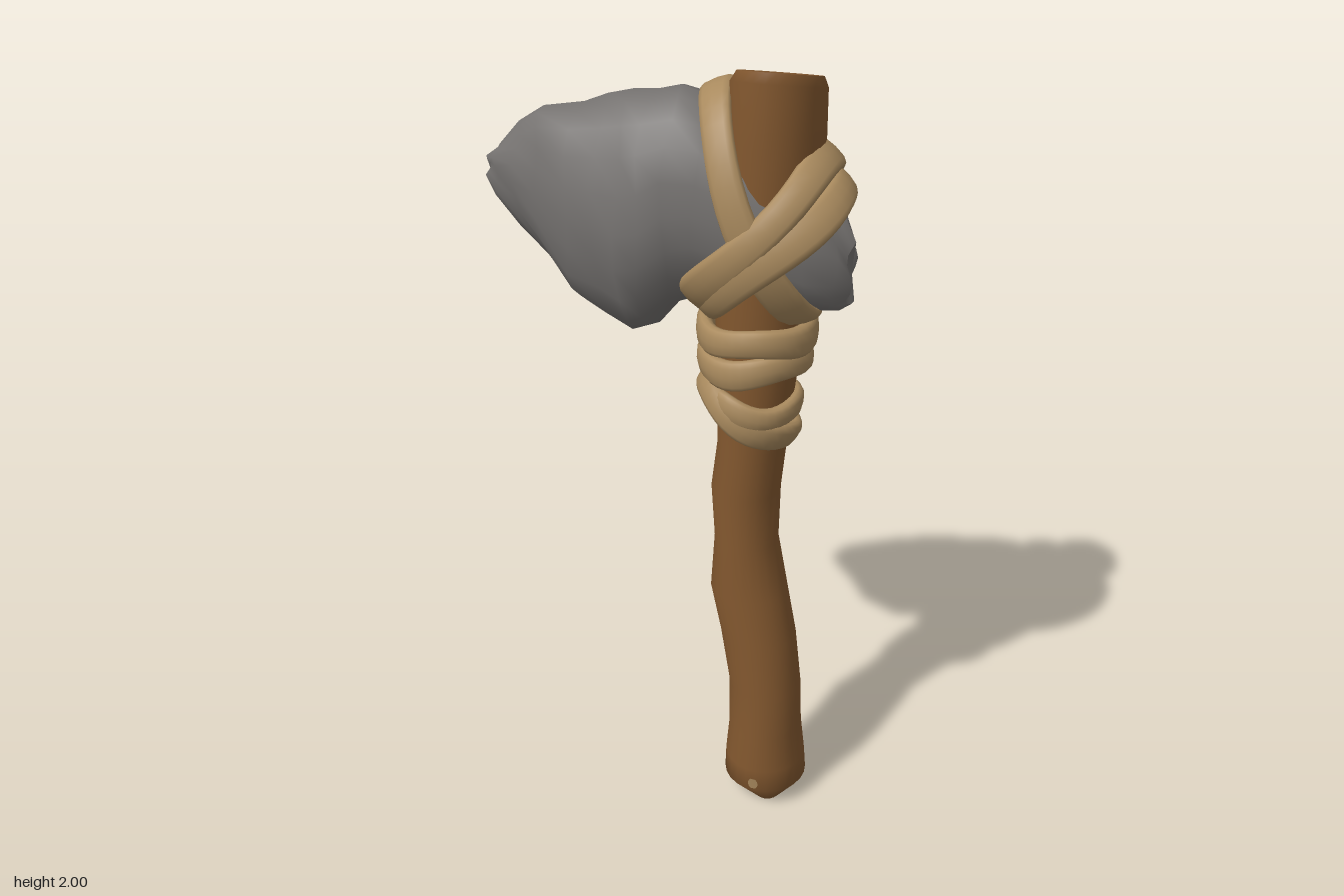
import * as THREE from 'three';

const wood = new THREE.MeshStandardMaterial({ color: 0x83582f });
wood.name = 'wood';
const stone = new THREE.MeshStandardMaterial({ color: 0x757270 });
stone.name = 'stone';
const hide = new THREE.MeshStandardMaterial({ color: 0xa98a5e });
hide.name = 'hide';
const paleWood = new THREE.MeshStandardMaterial({ color: 0xa3845a });
paleWood.name = 'paleWood';

const { sin, cos, PI } = Math;

// Skin a list of rings; open lofts get flat end caps with sharp rims.
function loft(rings, closed = false) {
  const n = rings[0].length, m = rings.length;
  const pos = rings.flat().flatMap((p) => [p.x, p.y, p.z]);
  const index = [];
  for (let i = 0; i < (closed ? m : m - 1); i++) {
    for (let j = 0; j < n; j++) {
      const k = (j + 1) % n, i2 = (i + 1) % m;
      const a = i * n + j, b = i * n + k, c = i2 * n + j, d = i2 * n + k;
      index.push(a, c, b, b, c, d);
    }
  }
  if (!closed) {
    for (const [ring, flip] of [[rings[0], false], [rings[m - 1], true]]) {
      const base = pos.length / 3;
      const mid = new THREE.Vector3();
      ring.forEach((p) => mid.addScaledVector(p, 1 / n));
      [mid, ...ring].forEach((p) => pos.push(p.x, p.y, p.z));
      for (let j = 0; j < n; j++) {
        const a = base + 1 + j, b = base + 1 + ((j + 1) % n);
        index.push(base, flip ? b : a, flip ? a : b);
      }
    }
  }
  const g = new THREE.BufferGeometry();
  g.setAttribute('position', new THREE.Float32BufferAttribute(pos, 3));
  g.setIndex(index);
  g.computeVertexNormals();
  return g;
}

const ringOf = (n, f) => Array.from({ length: n }, (_, j) => f((j / n) * 2 * PI));

function part(name, geometry, material) {
  const mesh = new THREE.Mesh(geometry, material);
  mesh.name = name;
  return mesh;
}

// Handle sections: y, x min, x max, z min, z max
const handleSections = [
  [0.0, 0.26, 0.33, 0.0, 0.08],
  [0.055, 0.17, 0.387, -0.11, 0.12],
  [0.12, 0.172, 0.382, -0.105, 0.12],
  [0.22, 0.18, 0.37, -0.095, 0.115],
  [0.35, 0.178, 0.365, -0.082, 0.11],
  [0.5, 0.15, 0.345, -0.09, 0.105],
  [0.63, 0.12, 0.32, -0.082, 0.095],
  [0.78, 0.127, 0.288, -0.088, 0.09],
  [0.92, 0.115, 0.288, -0.1, 0.09],
  [1.05, 0.13, 0.3, -0.095, 0.093],
  [1.2, 0.125, 0.315, -0.1, 0.1],
  [1.4, 0.12, 0.335, -0.11, 0.11],
  [1.6, 0.13, 0.35, -0.12, 0.12],
  [1.82, 0.14, 0.362, -0.137, 0.128],
  [1.94, 0.145, 0.36, -0.142, 0.132],
  [1.965, 0.16, 0.35, -0.135, 0.125],
];

function handlePoint(y, a, lift = 0) {
  let i = handleSections.findIndex((s) => s[0] >= y);
  i = Math.max(1, i);
  const s = handleSections[i - 1], e = handleSections[i];
  const t = (y - s[0]) / (e[0] - s[0]);
  const [x0, x1, z0, z1] = [1, 2, 3, 4].map((k) => s[k] + (e[k] - s[k]) * t);
  const x = (x0 + x1) / 2 + ((x1 - x0) / 2 + lift) * cos(a);
  const z = (z0 + z1) / 2 + ((z1 - z0) / 2 + lift) * sin(a);
  // The sawn top slopes down towards the back
  const slope = 0.26 * THREE.MathUtils.smoothstep(y, 1.75, 1.96);
  return new THREE.Vector3(x, y + slope * z, z);
}

// Thin pale scrape hugging the handle surface
function scrape(angle, span, y0, y1, lean) {
  const g = new THREE.PlaneGeometry(1, 1, 3, 4);
  const p = g.attributes.position;
  for (let i = 0; i < p.count; i++) {
    const v = p.getY(i) + 0.5;
    const taper = 0.5 + 0.5 * sin(PI * v);
    const a = angle - p.getX(i) * span * taper + lean * (v - 0.5);
    const q = handlePoint(y0 + (y1 - y0) * v, a, 0.004);
    p.setXYZ(i, q.x, q.y, q.z);
  }
  g.computeVertexNormals();
  return g;
}

// Stone sections: x, bottom, top, half thickness
const stoneSections = [
  [-0.444, 1.645, 1.715, 0.014],
  [-0.42, 1.61, 1.745, 0.03],
  [-0.36, 1.55, 1.805, 0.065],
  [-0.3, 1.485, 1.845, 0.095],
  [-0.21, 1.385, 1.865, 0.14],
  [-0.14, 1.355, 1.885, 0.155],
  [-0.08, 1.315, 1.9, 0.168],
  [-0.03, 1.335, 1.91, 0.175],
  [0.03, 1.4, 1.92, 0.163],
  [0.1, 1.43, 1.905, 0.156],
  [0.19, 1.43, 1.85, 0.15],
  [0.27, 1.43, 1.78, 0.143],
  [0.35, 1.42, 1.7, 0.108],
  [0.41, 1.425, 1.65, 0.068],
  [0.438, 1.44, 1.6, 0.03],
];

function stoneHead() {
  const rings = stoneSections.map(([x, lo, hi, w], i) =>
    ringOf(20, (a) => {
      // Chipped, uneven faces
      const chip = 1 + 0.035 * sin(i * 2.3 + a * 3) * sin(a * 5 - i * 1.7);
      const y = (lo + hi) / 2 + ((hi - lo) / 2) * cos(a) * (1 + (chip - 1) * 0.5);
      return new THREE.Vector3(x + 0.008 * sin(a * 4 + i * 2), y, -w * sin(a) * chip);
    }));
  return loft(rings);
}

// Strap looped round the shaft between two points on its left and right sides
function strap([x0, y0], [x1, y1], depth, width, thick, phase = 0) {
  const u = new THREE.Vector3(x1 - x0, y1 - y0, 0);
  const reach = u.length() / 2;
  u.normalize();
  const zAxis = new THREE.Vector3(0, 0, 1);
  const side = zAxis.clone().cross(u);
  const mid = new THREE.Vector3((x0 + x1) / 2, (y0 + y1) / 2, 0);
  const rings = ringOf(36, (a) => {
    const out = u.clone().multiplyScalar(cos(a) / reach)
      .addScaledVector(zAxis, sin(a) / depth).normalize();
    const p = mid.clone().addScaledVector(u, reach * cos(a))
      .addScaledVector(zAxis, depth * sin(a))
      .addScaledVector(side, 0.007 * sin(3 * a + phase));
    const w = (width / 2) * (1 + 0.1 * sin(2 * a + phase * 2));
    return ringOf(12, (s) => {
      const c = cos(s);
      return p.clone()
        .addScaledVector(side, w * Math.sign(c) * Math.abs(c) ** 0.7)
        .addScaledVector(out, (thick / 2) * sin(s));
    });
  });
  return loft(rings, true);
}

export function createModel() {
  const model = new THREE.Group();
  model.name = 'stoneAxe';

  // Crooked wooden handle
  const handle = new THREE.Group();
  handle.name = 'handle';
  const rings = handleSections.map(([y]) => ringOf(24, (a) => handlePoint(y, a)));
  handle.add(part('shaft', loft(rings), wood));

  // Broken branch stub on the back: z, centre y, x radius, y radius
  const stub = [
    [-0.04, 0.9, 0.075, 0.14], [-0.09, 0.9, 0.07, 0.115], [-0.115, 0.905, 0.058, 0.085],
    [-0.145, 0.903, 0.046, 0.06], [-0.173, 0.895, 0.036, 0.04], [-0.187, 0.9, 0.018, 0.02],
  ].map(([z, cy, rx, ry]) =>
    ringOf(12, (a) => new THREE.Vector3(0.2 + rx * cos(a), cy + ry * sin(a), z)));
  handle.add(part('branchStub', loft(stub), wood));

  // Scraped bark
  [[-PI / 2, 0.26, 0.23, 0.36, 0.2], [-PI / 2, 0.3, 0.07, 0.13, 0],
    [PI / 2 + 0.05, 0.25, 0.065, 0.095, 0]].forEach((s, i) =>
    handle.add(part('scrape' + (i + 1), scrape(...s), paleWood)));
  model.add(handle);

  model.add(part('stoneHead', stoneHead(), stone));

  // Crossed straps holding the head, then wraps down the shaft
  const binding = new THREE.Group();
  binding.name = 'binding';
  [
    ['crossStrap', [0.112, 1.925], [0.335, 1.405], 0.182, 0.085, 0.035],
    ['upperCrossStrap', [0.072, 1.435], [0.372, 1.785], 0.192, 0.085, 0.036],
    ['lowerCrossStrap', [0.095, 1.42], [0.412, 1.715], 0.188, 0.085, 0.036],
    ['wrap', [0.095, 1.355], [0.345, 1.36], 0.128, 0.075, 0.042],
    ['wrap', [0.098, 1.275], [0.335, 1.295], 0.126, 0.07, 0.042],
    ['wrap', [0.1, 1.215], [0.31, 1.085], 0.11, 0.075, 0.038],
    ['wrap', [0.112, 1.185], [0.318, 1.16], 0.113, 0.065, 0.036],
  ].forEach(([name, ...args], i) =>
    binding.add(part(name + (i + 1), strap(...args, i * 1.3), hide)));
  model.add(binding);

  return model;
}
